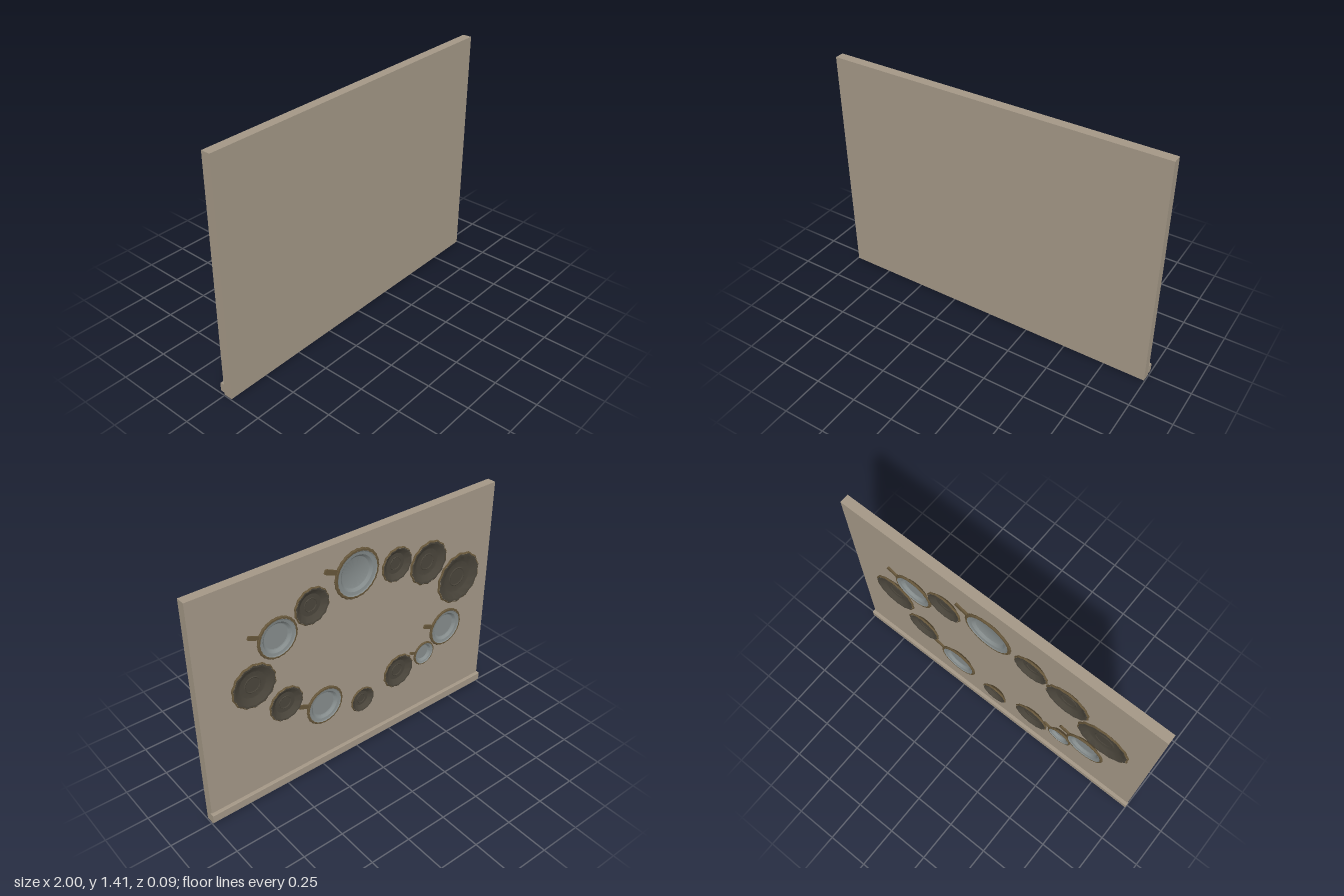
import * as THREE from 'three';
import { toCreasedNormals } from 'three/addons/utils/BufferGeometryUtils.js';

const paint = (name, color) => {
  const m = new THREE.MeshStandardMaterial({ color });
  m.name = name;
  return m;
};

// Turned part facing -z, with radii in units of r and its edge scalloped into lobes
function turned(profile, r, lobes, amp, segments) {
  const geo = new THREE.LatheGeometry(profile.map(([x, y]) => new THREE.Vector2(x * r, y)), segments);
  const p = geo.attributes.position;
  for (let i = 0; i < p.count; i++) {
    const x = p.getX(i), z = p.getZ(i);
    const t = Math.hypot(x, z) / r;
    const wave = Math.cos(lobes * Math.atan2(x, z));
    const k = 1 + amp * wave * THREE.MathUtils.smoothstep(t, 0.55, 0.9);
    p.setX(i, x * k);
    p.setZ(i, z * k);
  }
  geo.rotateX(-Math.PI / 2);
  return toCreasedNormals(geo, 0.35);
}

export function createModel() {
  const wallMat = paint('warm beige', 0xa39786);
  const bronze = paint('aged bronze', 0x66563a);
  const dark = paint('dark metal', 0x4a453b);
  const grey = paint('grey metal', 0x858c8c);

  const model = new THREE.Group();
  const add = (parent, name, geo, mat) => {
    const mesh = new THREE.Mesh(geo, mat);
    mesh.name = name;
    parent.add(mesh);
    return mesh;
  };

  // Wall slab
  add(model, 'wall', new THREE.BoxGeometry(1.99, 1.41, 0.054), wallMat).position.set(0, 0.705, 0.022);

  // Skirting board with chamfered outer edges, drawn in section and run along x
  const section = new THREE.Shape([
    [0, 0.02], [0.02, 0.02], [0.024, 0.025], [0.024, 0.07], [0.02, 0.075], [0, 0.075],
  ].map(([x, y]) => new THREE.Vector2(x, y)));
  const skirting = new THREE.ExtrudeGeometry(section, { depth: 2, bevelEnabled: false });
  skirting.translate(0, 0, -1).rotateY(Math.PI / 2);
  add(model, 'skirtingBoard', skirting, wallMat);

  // Fluted plates: x, y, radius
  const plates = [
    [0.688, 0.81, 0.135], [0.316, 1.135, 0.11], [-0.246, 1.168, 0.105], [-0.478, 1.093, 0.135],
    [-0.722, 0.906, 0.162], [0.502, 0.602, 0.108], [-0.014, 0.367, 0.082], [-0.281, 0.444, 0.11],
  ];
  const plateShell = [[0, 0], [0.6, 0], [0.88, 0.014], [0.98, 0.019], [0.98, 0.023], [0.93, 0.028]];
  const plateDish = [[0.93, 0.028], [0.85, 0.027], [0.62, 0.01], [0.58, 0.008], [0.37, 0.008],
    [0.34, 0.011], [0.3, 0.008], [0, 0.008]];
  for (const [x, y, r] of plates) {
    const plate = new THREE.Group();
    plate.name = 'flutedPlate';
    plate.position.set(x, y, -0.017);
    add(plate, 'plateShell', turned(plateShell, r, 14, 0.025, 56), bronze);
    add(plate, 'plateDish', turned(plateDish, r, 14, 0.025, 28), dark);
    model.add(plate);
  }

  // Pans with a beaded rim and a handle: x, y, radius
  const pans = [
    [0.531, 1.037, 0.122], [0.026, 1.215, 0.147], [0.253, 0.463, 0.122],
    [-0.478, 0.481, 0.077], [-0.641, 0.599, 0.122],
  ];
  const panShell = [[0, 0], [0.62, 0], [0.86, 0.014], [0.98, 0.018], [0.99, 0.023], [0.95, 0.028], [0.88, 0.028]];
  const panBowl = [[0.88, 0.028], [0.84, 0.024], [0.72, 0.021], [0.62, 0.008], [0.58, 0.006], [0, 0.006]];
  for (const [x, y, r] of pans) {
    const pan = new THREE.Group();
    pan.name = 'pan';
    pan.position.set(x, y, -0.017);
    add(pan, 'panShell', turned(panShell, r, 24, 0.012, 96), bronze);
    add(pan, 'panBowl', turned(panBowl, r, 24, 0, 48), grey);

    // Handle widening slightly to its end
    const outline = new THREE.Shape([
      [0.9, -0.08], [1.42, -0.1], [1.51, -0.08], [1.51, 0.08], [1.42, 0.1], [0.9, 0.08],
    ].map(([u, v]) => new THREE.Vector2(u * r, v * r)));
    const handle = new THREE.ExtrudeGeometry(outline, { depth: 0.01, bevelEnabled: false });
    handle.translate(0, 0, -0.026).rotateZ(0.39);
    add(pan, 'panHandle', handle, bronze);
    model.add(pan);
  }
  return model;
}
